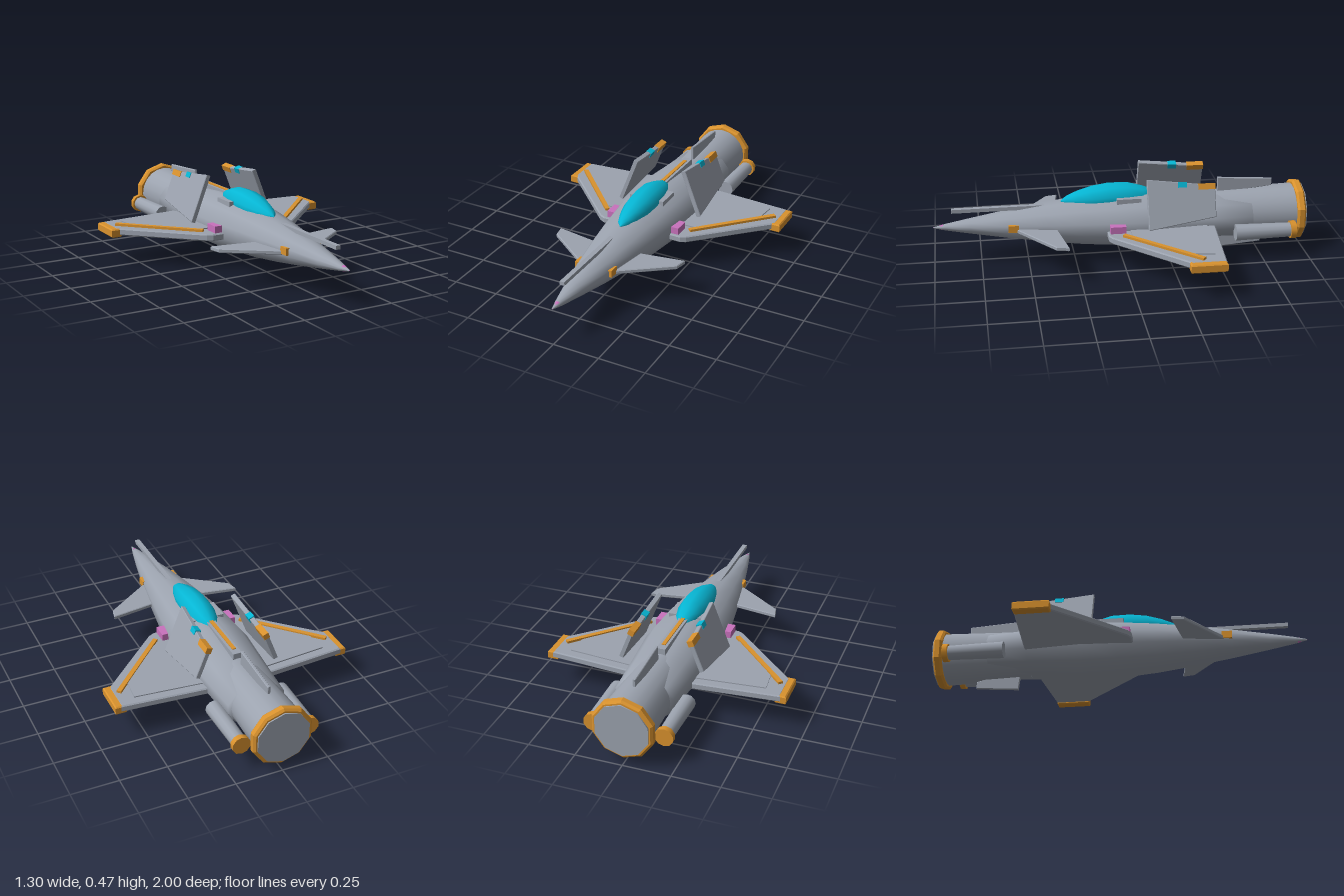
import * as THREE from 'three';

const mat = (name, color) => { const m = new THREE.MeshStandardMaterial({ color }); m.name = name; return m; };

export function createModel() {
  const grey = mat('hull grey', 0x9ca3af);
  const orange = mat('trim orange', 0xd9922e);
  const cyan = mat('glass cyan', 0x06b6d4);
  const pink = mat('marker pink', 0xc972bd);
  const model = new THREE.Group();
  model.name = 'jet';

  const add = (name, geo, m, parent = model) => {
    const mesh = new THREE.Mesh(geo, m);
    mesh.name = name;
    parent.add(mesh);
    return mesh;
  };
  const box = (name, m, x0, x1, y0, y1, z0, z1, parent) =>
    add(name, new THREE.BoxGeometry(Math.abs(x1 - x0), y1 - y0, z1 - z0)
      .translate((x0 + x1) / 2, (y0 + y1) / 2, (z0 + z1) / 2), m, parent);

  // Cylinder lying along z, from zBack (rBack) to zFront (rFront)
  const tube = (name, m, rBack, rFront, zBack, zFront, x, y, sides) =>
    add(name, new THREE.CylinderGeometry(rFront, rBack, zFront - zBack, sides)
      .rotateX(Math.PI / 2).translate(x, y, (zBack + zFront) / 2), m);

  // Smooth loft along z through elliptical stations [z, halfWidth, halfHeight, centreY], back to front
  const loft = (stations, sides) => {
    const pos = [], idx = [];
    for (const [z, rx, ry, cy] of stations) {
      for (let i = 0; i < sides; i++) {
        const a = ((i + 0.5) / sides) * Math.PI * 2;
        pos.push(Math.cos(a) * rx, cy + Math.sin(a) * ry, z);
      }
    }
    for (let s = 0; s < stations.length - 1; s++) {
      for (let i = 0; i < sides; i++) {
        const j = (i + 1) % sides, a = s * sides, b = a + sides;
        idx.push(a + i, a + j, b + j, a + i, b + j, b + i);
      }
    }
    const g = new THREE.BufferGeometry();
    g.setAttribute('position', new THREE.Float32BufferAttribute(pos, 3));
    g.setIndex(idx);
    g.computeVertexNormals();
    return g;
  };

  // Bevelled extrusion of a 2D outline; the total depth is t, starting at 0
  const extrude = (pts, t, bevel) => {
    const shape = new THREE.Shape(pts.map(p => new THREE.Vector2(p[0], p[1])));
    return new THREE.ExtrudeGeometry(shape, {
      depth: t - 2 * bevel, bevelEnabled: bevel > 0, bevelThickness: bevel,
      bevelSize: bevel, bevelOffset: -bevel, bevelSegments: 1,
    }).translate(0, 0, bevel);
  };
  // Horizontal plate from [x, z] points, and upright plate from [z, y] points
  const flat = (pts, y0, y1, bevel = 0) =>
    extrude(pts.map(([x, z]) => [x, -z]), y1 - y0, bevel).rotateX(-Math.PI / 2).translate(0, y0, 0);
  const upright = (pts, t, bevel = 0.003) =>
    extrude(pts, t, bevel).rotateY(-Math.PI / 2).translate(t / 2, 0, 0);

  // Fuselage, flattened towards the rear
  add('fuselage', loft([
    [-0.7, 0.01, 0.01, 0.2], [-0.7, 0.16, 0.113, 0.2], [-0.48, 0.176, 0.128, 0.2],
    [-0.2, 0.198, 0.152, 0.2], [0, 0.187, 0.146, 0.2], [0.2, 0.162, 0.13, 0.2],
    [0.4, 0.131, 0.105, 0.2], [0.6, 0.095, 0.075, 0.2], [0.8, 0.053, 0.041, 0.2],
    [0.93, 0.022, 0.018, 0.2], [0.995, 0.003, 0.003, 0.2],
  ], 12), grey);
  add('noseTip', new THREE.ConeGeometry(0.016, 0.055, 10).rotateX(Math.PI / 2).translate(0, 0.2, 0.9725), pink);
  box('noseProbe', grey, -0.013, 0.013, 0.28, 0.3, 0.36, 0.9);

  // Canopy
  add('canopy', loft([
    [-0.18, 0.002, 0.002, 0.335], [-0.175, 0.03, 0.026, 0.332], [-0.12, 0.057, 0.05, 0.328],
    [-0.04, 0.075, 0.076, 0.326], [0.06, 0.08, 0.08, 0.323], [0.15, 0.073, 0.072, 0.318],
    [0.23, 0.054, 0.052, 0.314], [0.29, 0.03, 0.026, 0.314], [0.32, 0.002, 0.002, 0.313],
  ], 10), cyan);
  box('canopyShoulder', grey, -0.1, 0.1, 0.29, 0.343, -0.1, 0.03);

  // Spine with its painted stripe
  box('spine', grey, -0.024, 0.024, 0.3, 0.358, -0.48, -0.1);
  box('spineStripe', orange, -0.01, 0.01, 0.355, 0.363, -0.44, -0.15);

  // Main engine, trim ring and closed nozzle
  tube('engine', grey, 0.143, 0.128, -0.99, -0.48, 0, 0.2, 20);
  const ringProfile = [[0.13, -0.993], [0.153, -0.993], [0.165, -0.983], [0.165, -0.957], [0.155, -0.946], [0.13, -0.946]];
  add('engineRing', new THREE.LatheGeometry(ringProfile.map(p => new THREE.Vector2(...p)), 10)
    .rotateX(Math.PI / 2).translate(0, 0.2, 0).toNonIndexed(), orange).geometry.computeVertexNormals();
  tube('nozzlePlate', grey, 0.144, 0.144, -1, -0.97, 0, 0.2, 10);

  // Centre-line tail fins
  add('dorsalFin', upright([[-0.53, 0.31], [-0.53, 0.405], [-0.83, 0.385], [-0.83, 0.345], [-0.6, 0.32]], 0.016), grey);
  add('ventralFin', upright([[-0.54, 0.09], [-0.55, 0], [-0.78, 0.018], [-0.78, 0.055], [-0.66, 0.09]], 0.018), grey);

  for (const s of [1, -1]) {
    const side = s > 0 ? 'left' : 'right';
    const m = pts => pts.map(([x, z]) => [x * s, z]);

    // Main wing with raised panel, diagonal stripe and tip pod
    add(side + 'Wing', flat(m([[0.1, 0.09], [0.23, 0.09], [0.26, 0.075], [0.62, -0.28], [0.62, -0.452], [0.1, -0.495]]),
      0.16, 0.197, 0.006), grey);
    add(side + 'WingPanel', flat(m([[0.15, -0.03], [0.29, -0.03], [0.52, -0.255], [0.535, -0.41], [0.15, -0.445]]),
      0.19, 0.203), grey);
    add(side + 'WingStripe', flat(m([[0.24, 0.005], [0.258, 0.02], [0.6, -0.335], [0.582, -0.352]]),
      0.19, 0.21), orange);
    add(side + 'WingTip', flat(m([[0.592, -0.265], [0.65, -0.265], [0.65, -0.452], [0.592, -0.452]]),
      0.15, 0.196, 0.006), orange);

    // Canard
    add(side + 'Canard', flat(m([[0.06, 0.59], [0.11, 0.555], [0.355, 0.375], [0.368, 0.31], [0.15, 0.345], [0.06, 0.36]]),
      0.184, 0.206, 0.004), grey);

    // Hull markers
    box(side + 'NoseVent', orange, s * 0.08, s * 0.105, 0.19, 0.228, 0.55, 0.605);
    box(side + 'SideLight', pink, s * 0.17, s * 0.214, 0.198, 0.235, -0.005, 0.078);

    // Inward-leaning fin with light and trim block
    const fin = new THREE.Group();
    fin.name = side + 'Fin';
    fin.position.set(s * 0.238, 0.215, 0);
    fin.rotation.z = s * 0.37;
    model.add(fin);
    add(side + 'FinPlate', upright([[-0.12, 0], [-0.12, 0.268], [-0.48, 0.222], [-0.48, 0.055]], 0.026), grey, fin);
    box(side + 'FinTrim', orange, -0.016, 0.016, 0.202, 0.234, -0.482, -0.39, fin);
    box(side + 'FinLight', cyan, -0.016, 0.016, 0.218, 0.247, -0.33, -0.283, fin);

    // Side booster
    tube(side + 'Booster', grey, 0.038, 0.044, -0.91, -0.595, s * 0.185, 0.155, 12);
    tube(side + 'BoosterRing', orange, 0.049, 0.049, -0.922, -0.893, s * 0.185, 0.155, 10);
  }
  return model;
}
